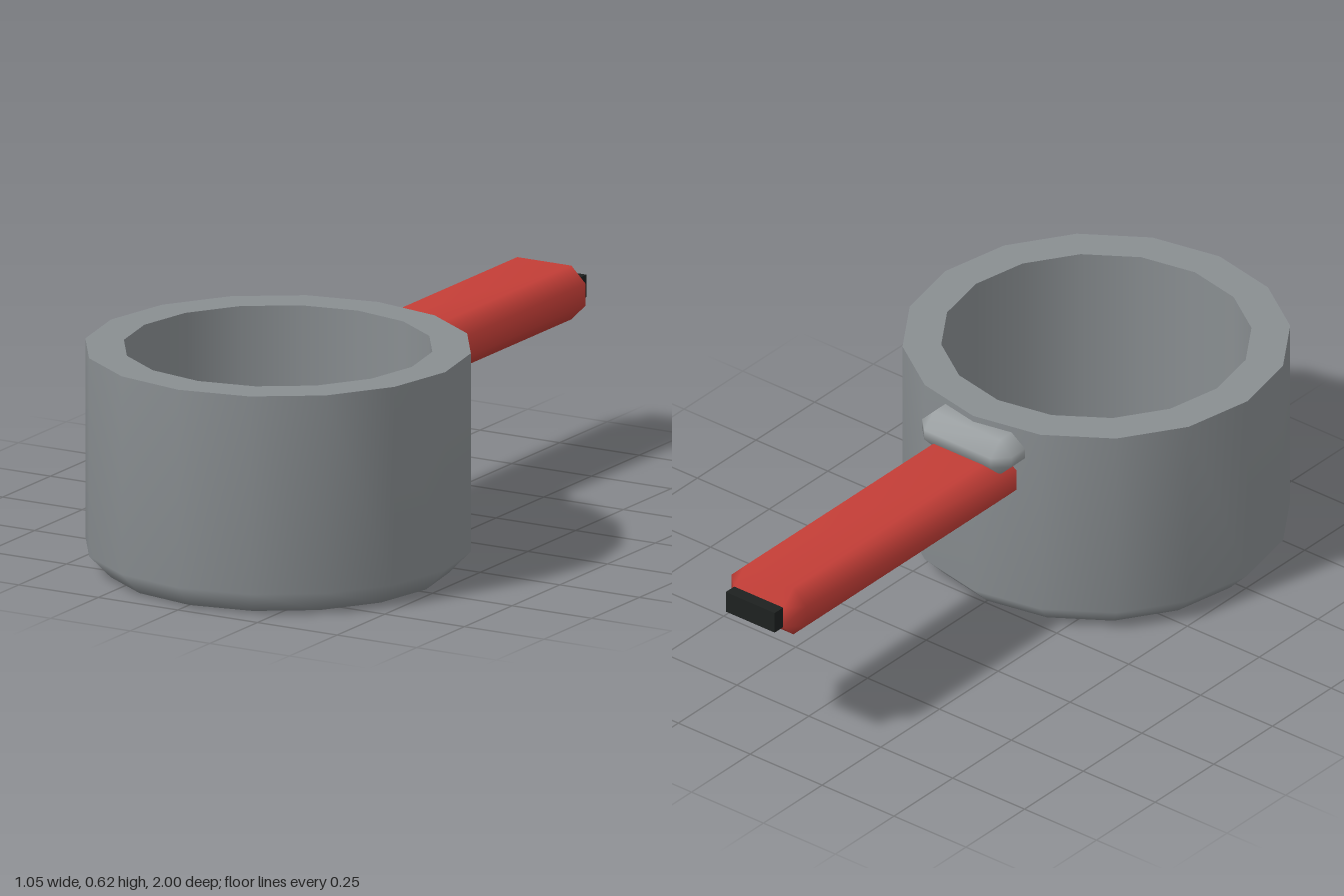
import * as THREE from 'three';
import { mergeVertices } from 'three/addons/utils/BufferGeometryUtils.js';
import { ConvexGeometry } from 'three/addons/geometries/ConvexGeometry.js';

// Box with one-step bevels on every edge and smooth shared normals
function bevelledBox(w, h, d, bevel) {
  const half = [w / 2, h / 2, d / 2];
  const points = [];
  for (let axis = 0; axis < 3; axis++)
    for (const sx of [-1, 1]) for (const sy of [-1, 1]) for (const sz of [-1, 1]) {
      const p = [sx, sy, sz].map((s, i) => s * (half[i] - (i === axis ? 0 : bevel)));
      points.push(new THREE.Vector3(...p));
    }
  const geometry = new ConvexGeometry(points);
  geometry.deleteAttribute('normal');
  const smooth = mergeVertices(geometry, 1e-4);
  smooth.computeVertexNormals();
  return smooth;
}

export function createModel() {
  const group = new THREE.Group();
  const material = (name, color) => {
    const m = new THREE.MeshStandardMaterial({ color });
    m.name = name;
    return m;
  };
  const potGrey = material('pot grey', 0x898e91);
  const bracketGrey = material('bracket grey', 0x9a9fa1);
  const handleRed = material('handle red', 0xc43e37);
  const capBlack = material('cap black', 0x1e2120);

  const add = (name, geometry, mat, x, y, z) => {
    const mesh = new THREE.Mesh(geometry, mat);
    mesh.name = name;
    mesh.position.set(x, y, z);
    group.add(mesh);
  };

  // Pot: separate sixteen-sided surfaces keep the rim and inner floor edges sharp
  const potParts = {
    potOuterWall: [[0, 0], [0.465, 0], [0.525, 0.062], [0.525, 0.615]],
    potRim: [[0.525, 0.615], [0.42, 0.615]],
    potInnerWall: [[0.42, 0.615], [0.42, 0.1]],
    potInnerFloor: [[0.42, 0.1], [0, 0.1]],
  };
  for (const [name, profile] of Object.entries(potParts)) {
    const points = profile.map(([r, y]) => new THREE.Vector2(r, y));
    add(name, new THREE.LatheGeometry(points, 16), potGrey, 0, 0, 0.475);
  }

  // Handle, set into the pot wall, with its end cap
  add('handle', bevelledBox(0.26, 0.15, 1.005, 0.045), handleRed, 0, 0.45, -0.4625);
  add('handleEndCap', new THREE.BoxGeometry(0.17, 0.062, 0.05), capBlack, 0, 0.45, -0.975);

  // Bracket above the root of the handle
  add('handleBracket', bevelledBox(0.31, 0.11, 0.155, 0.04), bracketGrey, 0, 0.542, -0.0395);

  return group;
}
